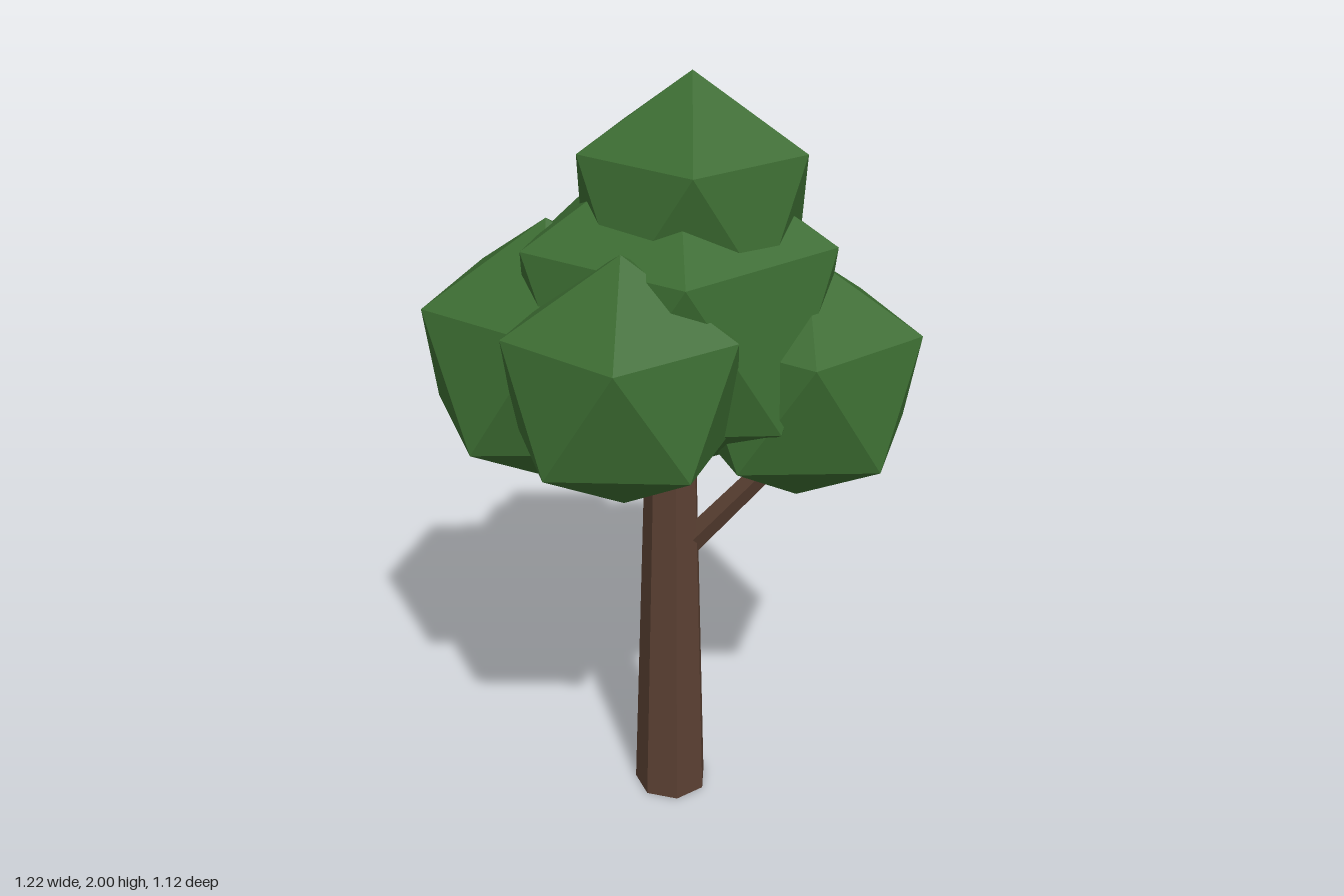
import * as THREE from 'three';

const bark = new THREE.MeshStandardMaterial({ name: 'bark brown', color: 0x5a4032, flatShading: true });
const leaf = new THREE.MeshStandardMaterial({ name: 'leaf green', color: 0x3b6b31, flatShading: true });

// Icosahedron standing on a vertex; azimuth (degrees from +z towards +x) aims one upper corner
function foliage(name, radius, position, azimuth) {
  const geometry = new THREE.IcosahedronGeometry(radius, 0);
  geometry.rotateZ(-Math.atan(2 / (1 + Math.sqrt(5))));
  geometry.rotateY(THREE.MathUtils.degToRad(azimuth - 90));
  const mesh = new THREE.Mesh(geometry, leaf);
  mesh.name = name;
  mesh.position.set(...position);
  return mesh;
}

// Five-sided tapered stick between two points
function branch(name, from, to) {
  const a = new THREE.Vector3(...from);
  const b = new THREE.Vector3(...to);
  const direction = b.clone().sub(a);
  const mesh = new THREE.Mesh(new THREE.CylinderGeometry(0.028, 0.034, direction.length(), 5), bark);
  mesh.name = name;
  mesh.position.copy(a).add(b).multiplyScalar(0.5);
  mesh.quaternion.setFromUnitVectors(new THREE.Vector3(0, 1, 0), direction.normalize());
  return mesh;
}

export function createModel() {
  const tree = new THREE.Group();
  tree.name = 'tree';

  // Seven-sided trunk with a flat face to the front
  const trunk = new THREE.Mesh(new THREE.CylinderGeometry(0.068, 0.1, 1.04, 7, 1, false, Math.PI), bark);
  trunk.name = 'trunk';
  trunk.position.set(0, 0.52, -0.012);
  tree.add(trunk);

  // Side branches
  tree.add(
    branch('leftBranch', [0.05, 0.78, -0.018], [0.28, 1.06, -0.03]),
    branch('rightBranch', [0.0, 0.795, -0.095], [-0.23, 1.08, -0.06]),
  );

  // Crown
  tree.add(
    foliage('middleFoliage', 0.435, [0.01, 1.42, -0.025], 18.7),
    foliage('topFoliage', 0.312, [0.04, 1.688, -0.043], 16),
    foliage('frontFoliage', 0.312, [-0.03, 1.352, 0.29], 14),
    foliage('backFoliage', 0.325, [0.06, 1.295, -0.28], 166),
    foliage('leftFoliage', 0.325, [0.313, 1.25, -0.08], 90),
    foliage('rightFoliage', 0.352, [-0.3, 1.29, 0.035], 89),
  );
  return tree;
}
